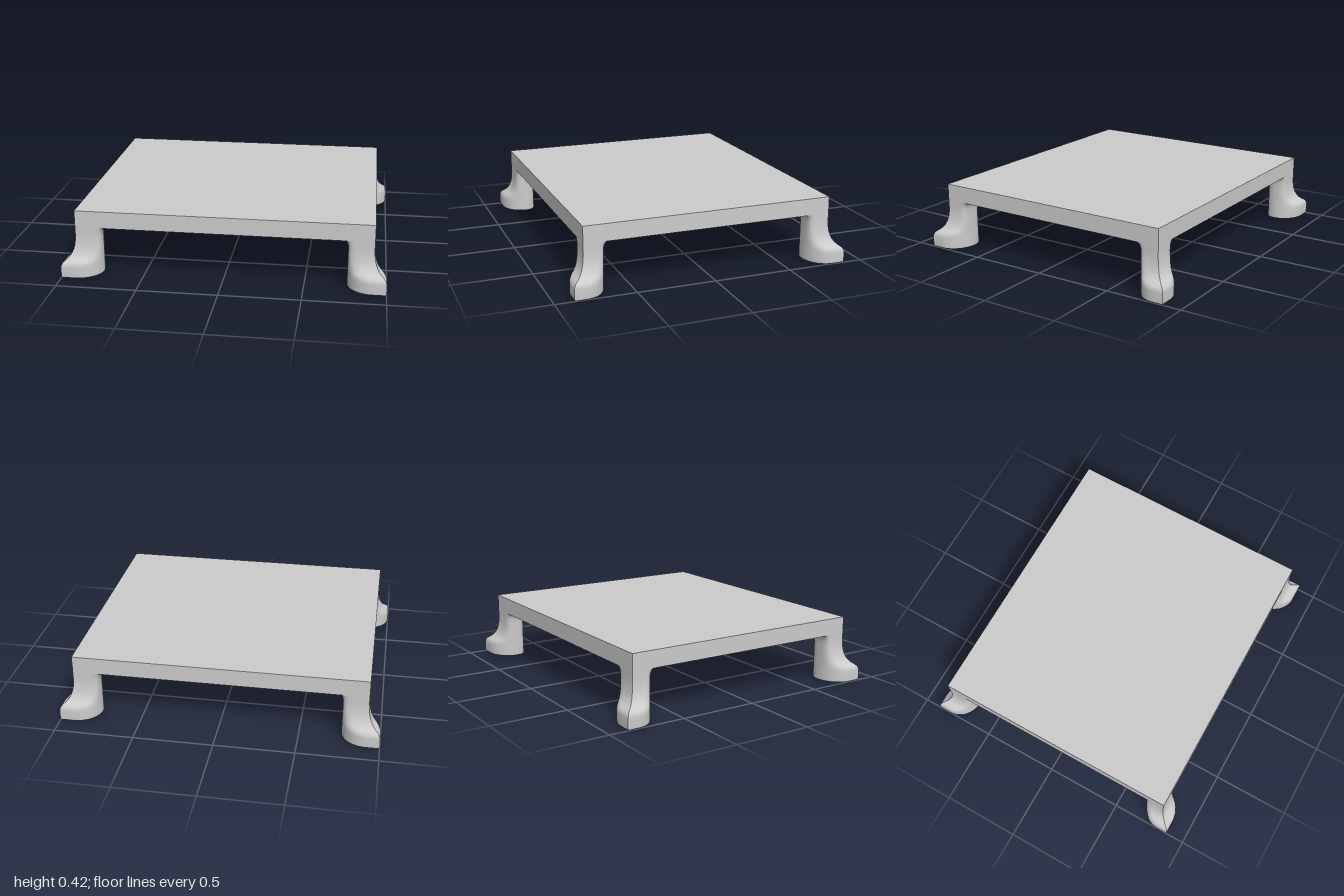
import * as THREE from 'three';

const V = (x, z) => new THREE.Vector2(x, z);
const X = 0.92, Z = 0.80; // outer edges of the table top
const IX = 0.76, IZ = 0.665; // inner edges of a leg

// Leg levels: [height, outward spread of the foot 0..1, inward fillet, scale]
const LEVELS = [
  [0, 1, 0, 0.96], [0.003, 1, 0, 0.985], [0.01, 1, 0, 1], [0.07, 1, 0, 1],
  [0.085, 0.96, 0, 1], [0.097, 0.87, 0, 1], [0.107, 0.73, 0, 1], [0.117, 0.56, 0, 1],
  [0.13, 0.4, 0, 1], [0.148, 0.26, 0, 1], [0.17, 0.15, 0, 1], [0.2, 0.06, 0, 1],
  [0.24, 0, 0, 1], [0.27, 0, 0.002, 1], [0.285, 0, 0.007, 1], [0.297, 0, 0.015, 1],
  [0.305, 0, 0.026, 1], [0.31, 0, 0.042, 1],
];

// Cross-section: sharp outer corner, short straight sides, rounded inside
function section(spread, fillet, scale) {
  const e = 0.08 * spread, ix = IX - fillet, iz = IZ - fillet;
  const ox = X + e, oz = Z + e;
  const ax = ox - 0.08, az = oz - 0.07;
  const path = new THREE.CurvePath();
  path.add(new THREE.LineCurve(V(ox, oz), V(ax, oz)));
  path.add(new THREE.CubicBezierCurve(V(ax, oz), V(ix + 0.015 + e * 0.5, oz), V(ix, Z), V(ix, 0.74)));
  path.add(new THREE.CubicBezierCurve(V(ix, 0.74), V(ix, iz + 0.025), V(ix + 0.025, iz), V(0.84, iz)));
  path.add(new THREE.CubicBezierCurve(V(0.84, iz), V(X, iz), V(ox, iz + 0.015 + e * 0.5), V(ox, az)));
  path.add(new THREE.LineCurve(V(ox, az), V(ox, oz)));
  const points = [];
  path.curves.forEach((curve, k) => {
    const steps = curve.isLineCurve ? 3 : 12;
    for (let i = k ? 1 : 0; i <= steps; i++) points.push(curve.getPoint(i / steps));
  });
  const centre = V(0.86, 0.75);
  return points.map((p) => p.sub(centre).multiplyScalar(scale).add(centre));
}

// Loft the sections; the ring is open at the outer corner to keep that edge sharp
function legGeometry(sx, sz) {
  const pos = [], index = [];
  const tri = (a, b, c) => (sx * sz > 0 ? index.push(a, b, c) : index.push(a, c, b));
  let n = 0;
  for (const [y, spread, fillet, scale] of LEVELS) {
    const ring = section(spread, fillet, scale);
    n = ring.length;
    for (const p of ring) pos.push(sx * p.x, y, sz * p.y);
  }
  for (let i = 0; i < LEVELS.length - 1; i++) {
    for (let j = 0; j < n - 1; j++) {
      const a = i * n + j, b = a + 1;
      tri(a, a + n, b);
      tri(b, a + n, b + n);
    }
  }
  // flat sole with its own vertices
  const start = pos.length / 3;
  pos.push(...pos.slice(0, n * 3), sx * 0.86, 0, sz * 0.75);
  for (let j = 0; j < n - 1; j++) tri(start + n, start + j, start + j + 1);

  const geometry = new THREE.BufferGeometry();
  geometry.setAttribute('position', new THREE.Float32BufferAttribute(pos, 3));
  geometry.setIndex(index);
  geometry.computeVertexNormals();
  return geometry;
}

export function createModel() {
  const model = new THREE.Group();
  model.name = 'lowTable';
  const material = new THREE.MeshStandardMaterial({ color: 0xcccccc });

  const top = new THREE.Mesh(new THREE.BoxGeometry(2 * X, 0.108, 2 * Z), material);
  top.name = 'tableTop';
  top.position.y = 0.364;
  model.add(top);

  // four mirrored legs with flared feet
  for (const sx of [1, -1]) {
    for (const sz of [1, -1]) {
      const leg = new THREE.Mesh(legGeometry(sx, sz), material);
      leg.name = (sz > 0 ? 'front' : 'back') + (sx > 0 ? 'Left' : 'Right') + 'Leg';
      model.add(leg);
    }
  }
  return model;
}
